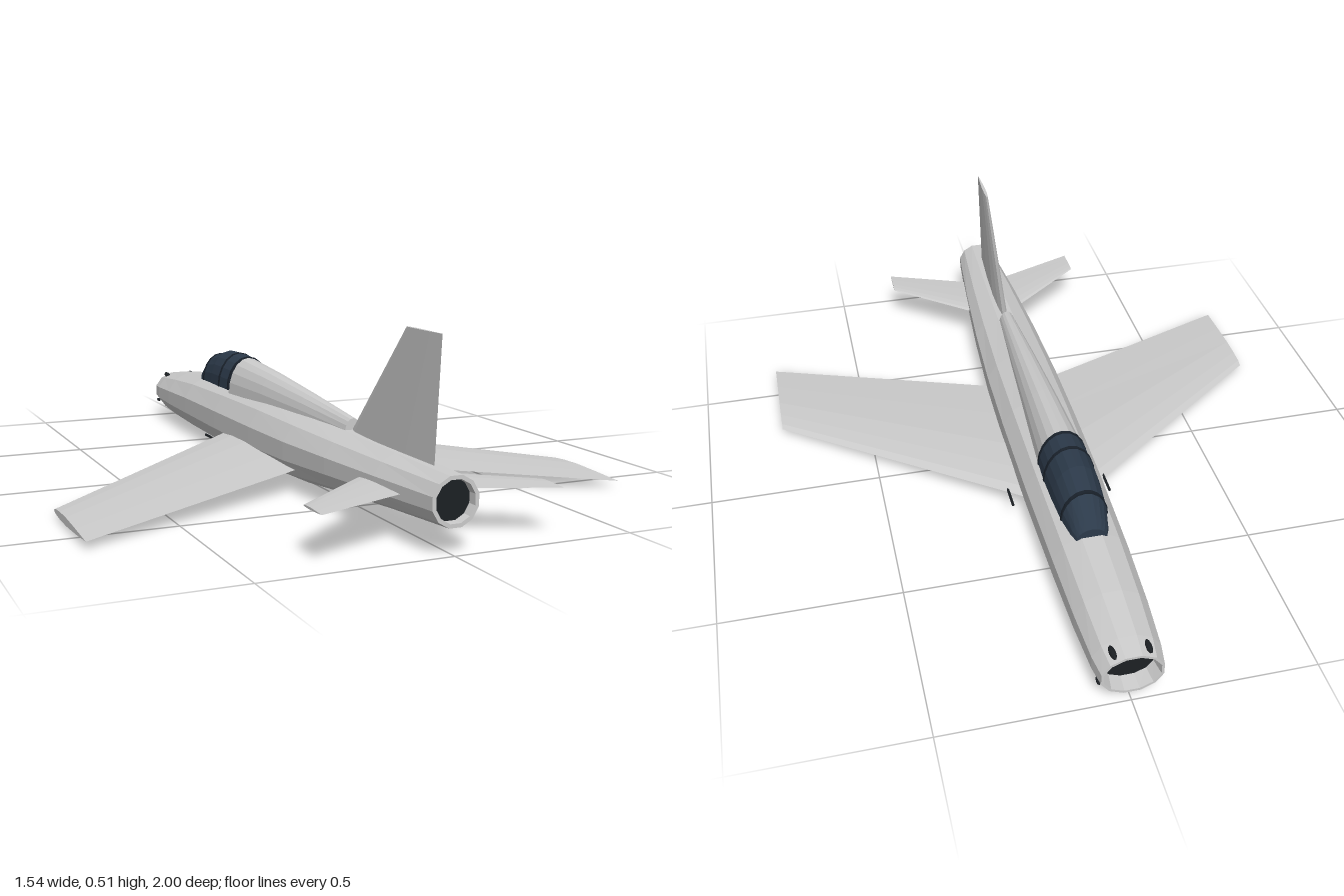
import * as THREE from 'three';

const mat = (color, extra = {}) => new THREE.MeshStandardMaterial({ color, flatShading: true, ...extra });

// Skin a list of closed rings (arrays of Vector3), closing the ends with fans
function loft(rings, capped = true) {
  const n = rings[0].length, pos = [], idx = [];
  rings.forEach(r => r.forEach(p => pos.push(p.x, p.y, p.z)));
  for (let i = 0; i < rings.length - 1; i++)
    for (let j = 0; j < n; j++) {
      const k = (j + 1) % n, a = i * n + j, b = i * n + k;
      idx.push(a, b, b + n, a, b + n, a + n);
    }
  if (capped) {
    const e = (rings.length - 1) * n;
    for (let j = 1; j < n - 1; j++) idx.push(0, j + 1, j, e, e + j, e + j + 1);
  }
  const g = new THREE.BufferGeometry();
  g.setAttribute('position', new THREE.Float32BufferAttribute(pos, 3));
  g.setIndex(idx);
  g.computeVertexNormals();
  return g;
}

// Twelve-sided body ring, flats on top, bottom and sides
const SIDES = 12, K = 1 / Math.cos(Math.PI / SIDES);
const bodyRing = ([z, bottom, top, rx]) => Array.from({ length: SIDES }, (_, i) => {
  const a = (i + 0.5) / SIDES * Math.PI * 2;
  return new THREE.Vector3(rx * K * Math.cos(a), (top + bottom) / 2 + (top - bottom) / 2 * K * Math.sin(a), z);
});

// Half-round arch standing on a flat base
const archRing = ([z, base, top, rx], grow = 0) => Array.from({ length: 11 }, (_, i) => {
  const a = i / 10 * Math.PI;
  return new THREE.Vector3((rx + grow) * Math.cos(a), base + (top + grow - base) * Math.sin(a), z);
});

// Aerofoil outline: chord fraction, thickness fraction
const FOIL = [[0, 0], [0.06, 0.6], [0.2, 0.92], [0.4, 1], [0.7, 0.6], [1, 0.06],
  [0.7, -0.6], [0.4, -1], [0.2, -0.92], [0.06, -0.6]];

// Tapered surface between two sections [span, height, leading z, trailing z, half thickness]
function surface(sections, place) {
  return sections.map(([s, h, le, te, t]) =>
    FOIL.map(([c, f]) => place(s, h + f * t, le + c * (te - le))));
}

export function createModel() {
  const model = new THREE.Group();
  const grey = mat(0xcccccc), dark = mat(0x1c2024), glass = mat(0x2c3a4a), frame = mat(0x1a222c);
  const add = (name, geometry, material) => {
    const m = new THREE.Mesh(geometry, material);
    m.name = name;
    model.add(m);
    return m;
  };

  // Fuselage tube with rolled-in intake and exhaust lips: z, bottom, top, half width
  const body = [
    [-0.95, 0.05, 0.145, 0.066], [-1, 0.044, 0.153, 0.074],
    [-1, 0.037, 0.16, 0.081], [-0.94, 0.028, 0.17, 0.09], [-0.8, 0.018, 0.187, 0.099],
    [-0.6, 0.011, 0.203, 0.106], [-0.3, 0.006, 0.213, 0.112], [0, 0.005, 0.217, 0.113],
    [0.25, 0.017, 0.213, 0.11], [0.5, 0.04, 0.207, 0.1], [0.75, 0.058, 0.202, 0.084],
    [1, 0.073, 0.197, 0.062],
    [1, 0.083, 0.187, 0.052], [0.96, 0.085, 0.185, 0.05],
  ];
  add('fuselage', loft(body.map(bodyRing), false), grey);

  // Dark faces inside the two openings
  const intake = add('intake', new THREE.CircleGeometry(1, SIDES, Math.PI / SIDES), dark);
  intake.scale.set(0.07, 0.05, 1);
  intake.rotation.y = Math.PI;
  intake.position.set(0, 0.0975, -0.955);
  const nozzle = add('exhaust', new THREE.CircleGeometry(0.053, SIDES, Math.PI / SIDES), dark);
  nozzle.position.set(0, 0.135, 0.975);

  // Canopy, its hoops and the spine behind it: z, base, top, half width
  const canopy = [
    [-0.608, 0.195, 0.228, 0.042], [-0.585, 0.198, 0.25, 0.052], [-0.525, 0.203, 0.289, 0.064],
    [-0.44, 0.206, 0.31, 0.07], [-0.36, 0.206, 0.311, 0.072], [-0.285, 0.206, 0.307, 0.07],
  ];
  add('canopy', loft(canopy.map(r => archRing(r))), glass);
  for (const i of [2, 4, 5]) {
    const [z, ...rest] = canopy[i];
    add('canopyHoop', loft([z - 0.005, z + 0.005].map(h => archRing([h, ...rest], 0.002))), frame);
  }
  const spine = [
    [-0.285, 0.195, 0.306, 0.068], [-0.05, 0.2, 0.289, 0.056],
    [0.2, 0.2, 0.266, 0.042], [0.47, 0.195, 0.239, 0.025],
  ];
  add('spine', loft(spine.map(r => archRing(r))), grey);

  // Vertical fin
  add('fin', loft(surface(
    [[0.19, 0, 0.45, 0.9, 0.013], [0.515, 0, 0.755, 0.925, 0.005]],
    (s, t, z) => new THREE.Vector3(-t, s, z))), grey);

  for (const side of [1, -1]) {
    const label = side > 0 ? 'left' : 'right';
    const flat = (name, sections) => {
      const rings = surface(sections, (s, h, z) => new THREE.Vector3(side * s, h, z));
      add(label + name, loft(side > 0 ? rings : rings.reverse()), grey);
    };
    // Swept wings and tailplanes
    flat('Wing', [[0.04, 0.072, -0.311, 0.276, 0.023], [0.77, 0.024, 0.285, 0.61, 0.011]]);
    flat('Tailplane', [[0.03, 0.129, 0.624, 0.85, 0.007], [0.324, 0.129, 0.865, 0.965, 0.003]]);

    // Probe at the wing root
    const probe = add(label + 'WingProbe', new THREE.CylinderGeometry(0.004, 0.004, 0.08, 8), dark);
    probe.rotation.x = Math.PI / 2;
    probe.position.set(side * 0.145, 0.066, -0.245);

    // Gun ports on the nose shoulders and lower cheeks
    for (const [x, y, z, w, l] of [[0.046, 0.155, -0.968, 0.009, 0.028], [0.081, 0.066, -0.972, 0.005, 0.014]]) {
      const port = add(label + 'GunPort', new THREE.SphereGeometry(1, 10, 8), dark);
      port.scale.set(w, w, l);
      port.rotation.x = y > 0.1 ? 0.16 : 0;
      port.position.set(side * x, y, z);
    }
  }
  return model;
}
